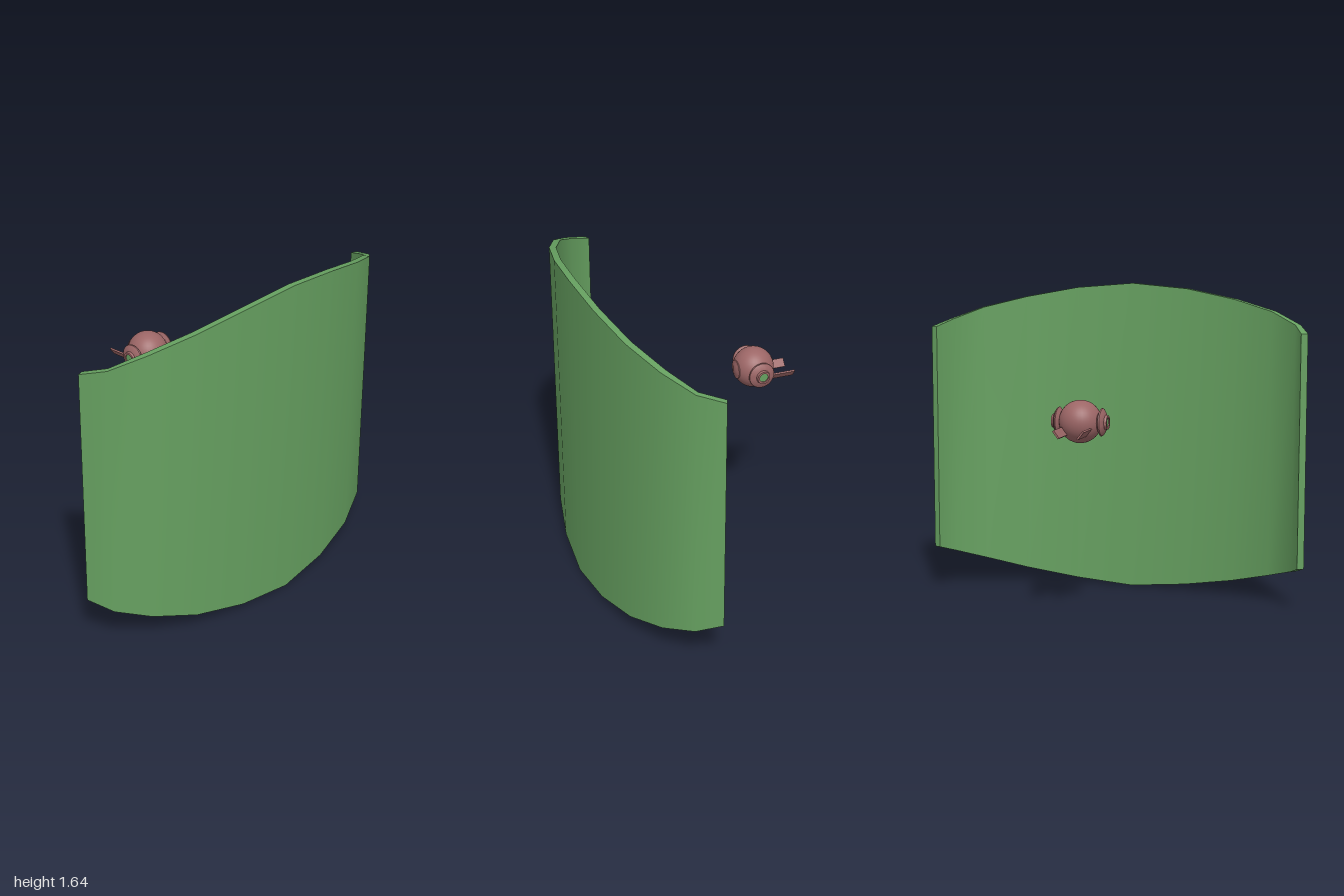
import * as THREE from 'three';
import { toCreasedNormals } from 'three/addons/utils/BufferGeometryUtils.js';

const green = new THREE.MeshStandardMaterial({ color: 0x66a060 });
const rose = new THREE.MeshStandardMaterial({ color: 0x9c6666 });

function addMesh(parent, name, geometry, material) {
  const mesh = new THREE.Mesh(geometry, material);
  mesh.name = name;
  parent.add(mesh);
  return mesh;
}

// Curved panel: half profile as [outer x, outer z, inner x, inner z, bottom y, top y]
function panelGeometry() {
  const half = [
    [0, 0.575, 0, 0.542, 0, 1.64],
    [0.305, 0.555, 0.3, 0.522, 0.03, 1.615],
    [0.58, 0.5, 0.568, 0.467, 0.08, 1.565],
    [0.797, 0.413, 0.78, 0.382, 0.14, 1.51],
    [0.942, 0.303, 0.918, 0.284, 0.19, 1.45],
    [1, 0.18, 0.968, 0.168, 0.23, 1.415],
  ];
  const mirrored = half.slice(1).reverse().map(([a, b, c, d, e, f]) => [-a, b, -c, d, e, f]);
  const sections = [...mirrored, ...half];
  const pos = [];
  const index = [];
  for (const [ox, oz, ix, iz, y0, y1] of sections) {
    pos.push(ox, y0, oz, ox, y1, oz, ix, y1, iz, ix, y0, iz);
  }
  const last = (sections.length - 1) * 4;
  for (let s = 0; s < last; s += 4) {
    for (let k = 0; k < 4; k++) {
      const a = s + k, b = s + ((k + 1) % 4);
      index.push(a, a + 4, b + 4, a, b + 4, b);
    }
  }
  // End caps
  index.push(0, 1, 2, 0, 2, 3, last, last + 2, last + 1, last, last + 3, last + 2);
  const geo = new THREE.BufferGeometry();
  geo.setAttribute('position', new THREE.Float32BufferAttribute(pos, 3));
  geo.setIndex(index);
  return toCreasedNormals(geo, 0.7);
}

// Stepped round housing along +y, from [radius, distance from ball centre]
function housingGeometry(points) {
  const profile = points.map(([r, y]) => new THREE.Vector2(r, y));
  return toCreasedNormals(new THREE.LatheGeometry(profile, 32), 0.5);
}

export function createModel() {
  const model = new THREE.Group();
  model.name = 'droneAndScreen';

  addMesh(model, 'curvedScreen', panelGeometry(), green);

  const drone = new THREE.Group();
  drone.name = 'drone';
  drone.position.set(0, 1.011, -0.379);
  model.add(drone);
  addMesh(drone, 'body', new THREE.SphereGeometry(0.104, 32, 24), rose);

  // Front eye with a green lens
  const eye = new THREE.Group();
  eye.name = 'eye';
  eye.rotation.x = Math.PI / 2;
  drone.add(eye);
  addMesh(eye, 'eyeRim', housingGeometry([[0.048, 0.08], [0.048, 0.096], [0.024, 0.099], [0.024, 0.09]]), rose);
  addMesh(eye, 'eyeLens', new THREE.CylinderGeometry(0.024, 0.024, 0.02, 32), green).position.y = 0.089;

  for (const side of [-1, 1]) {
    // Side pods with green lenses
    const pod = new THREE.Group();
    pod.name = side > 0 ? 'leftPod' : 'rightPod';
    pod.rotation.z = -side * Math.PI / 2;
    drone.add(pod);
    addMesh(pod, 'podHousing', housingGeometry([
      [0.04, 0.09], [0.068, 0.106], [0.066, 0.112], [0.05, 0.123],
      [0.036, 0.127], [0.033, 0.139], [0.023, 0.139], [0.023, 0.128],
    ]), rose);
    addMesh(pod, 'podLens', new THREE.CylinderGeometry(0.023, 0.023, 0.03, 32), green).position.y = 0.118;

    // Flat rear fins, tilted into a V
    const fin = addMesh(drone, side > 0 ? 'leftFin' : 'rightFin', new THREE.BoxGeometry(0.046, 0.009, 0.15), rose);
    fin.position.set(side * 0.06, -0.042, -0.123);
    fin.rotation.z = side * 0.91;
  }
  return model;
}
